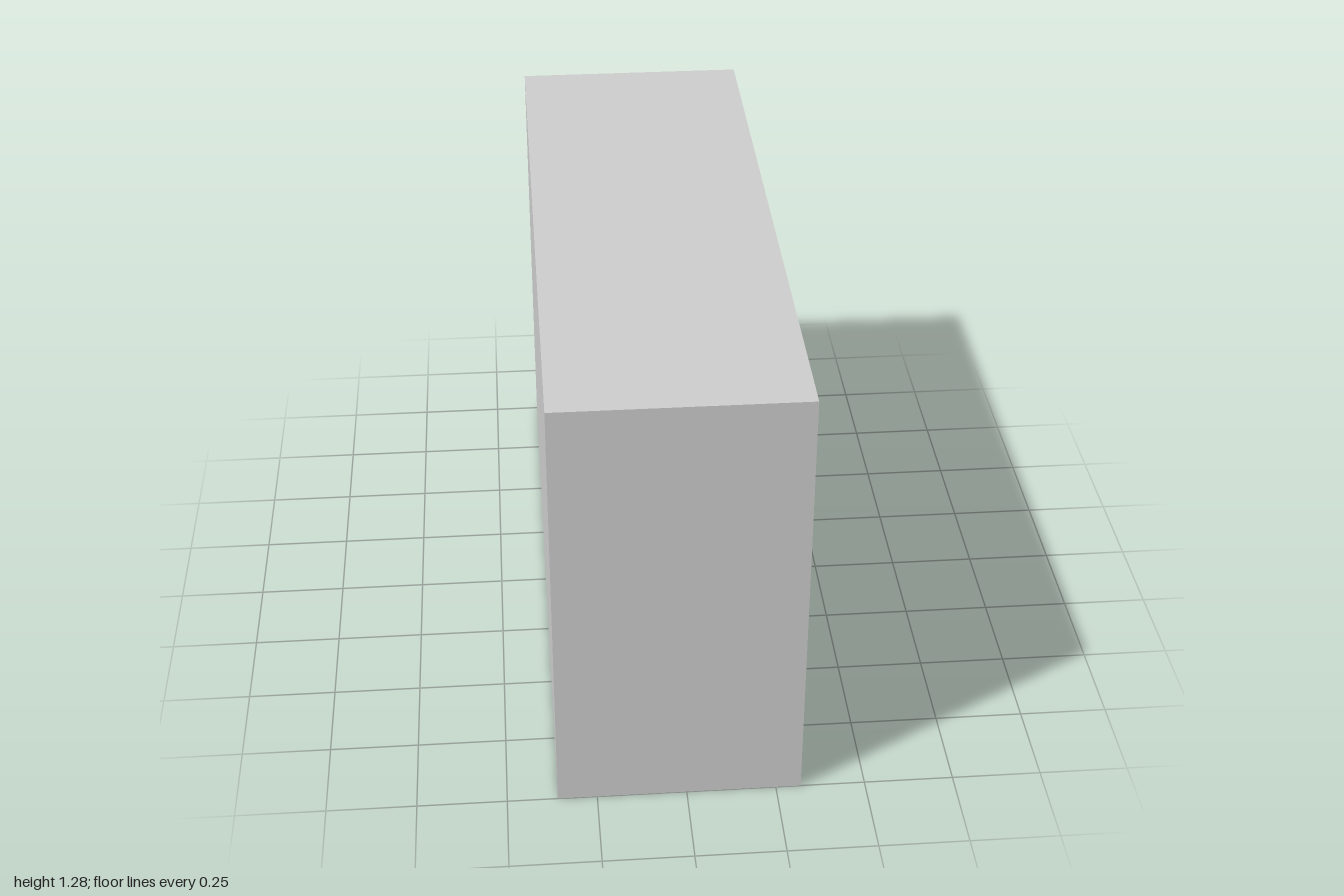
import * as THREE from 'three';
import { toCreasedNormals } from 'three/addons/utils/BufferGeometryUtils.js';

const SEG = 16; // steps along each side of a four-sided ring

// Walk the border of the square [-1, 1]², counter-clockwise seen from +x
function ring(place) {
  const pts = [];
  for (let i = 0; i < 4 * SEG; i++) {
    const t = (i % SEG) / SEG * 2 - 1;
    const [a, b] = [[t, -1], [1, t], [-t, 1], [-1, -t]][Math.floor(i / SEG)];
    pts.push(place(a, b));
  }
  return pts;
}

// Rectangular ring at depth x
function rect(x, z0, z1, y0, y1) {
  return ring((a, b) => [
    x, (y0 + y1) / 2 + b * (y1 - y0) / 2, (z0 + z1) / 2 - a * (z1 - z0) / 2,
  ]);
}

// Skin consecutive rings into one surface
function loft(rings, crease) {
  const n = rings[0].length, index = [];
  for (let r = 0; r < rings.length - 1; r++) {
    for (let j = 0; j < n; j++) {
      const k = (j + 1) % n;
      const p = r * n + j, q = r * n + k;
      index.push(p, q, q + n, p, q + n, p + n);
    }
  }
  const g = new THREE.BufferGeometry();
  g.setAttribute('position', new THREE.Float32BufferAttribute(rings.flat(2), 3));
  g.setIndex(index);
  return toCreasedNormals(g, crease);
}

// Screen face: flat middle falling away towards every edge
function screenDepth(y, z) {
  const dz = Math.max(0, Math.abs(z - 0.17) - 0.375);
  const dy = Math.max(0, Math.abs(y - 0.645) - 0.165);
  return 0.358 - Math.hypot(0.29 * dz, 0.235 * dy);
}

// Barrel-shaped screen outline, scaled by s
function screenRing(s, x) {
  return ring((a, b) => {
    const z = 0.16 - s * a * (0.57 + 0.05 * (1 - b * b));
    const y = 0.645 + s * b * (0.445 + 0.05 * (1 - a * a));
    return [x ?? screenDepth(y, z), y, z];
  });
}

export function createModel() {
  const group = new THREE.Group();
  const material = new THREE.MeshStandardMaterial({ color: 0xcccccc });
  const add = (name, geometry, x = 0, y = 0, z = 0) => {
    const mesh = new THREE.Mesh(geometry, material);
    mesh.name = name;
    mesh.position.set(x, y, z);
    group.add(mesh);
    return mesh;
  };

  // Cabinet: closed back, four sides, thin rim with an inner lip
  add('cabinet', loft([
    rect(-0.36, 0, 0, 0.64, 0.64),
    rect(-0.36, -1, 1, 0, 1.28),
    rect(0.32, -1, 1, 0, 1.28),
    rect(0.32, -0.967, 0.967, 0.027, 1.253),
    rect(0.284, -0.967, 0.967, 0.027, 1.253),
  ], 0.5));

  // Front panel around the screen opening
  const opening = rect(0.284, -0.53, 0.835, 0.125, 1.158);
  add('frontPanel', loft([rect(0.284, -0.967, 0.967, 0.027, 1.253), opening], 0.5));

  // Sloping recess: steep at the top and one side, gentle at the others
  add('screenRecess', loft([
    opening,
    rect(0.25, -0.475, 0.825, 0.155, 1.145),
    screenRing(0.98, 0.25),
  ], 0.9));

  // Bulging screen with a short steep edge
  const screen = [screenRing(1, 0.245)];
  for (let i = 20; i >= 0; i--) screen.push(screenRing(i / 20));
  add('screen', loft(screen, 0.7));

  // Control plate
  add('controlPlate', new THREE.BoxGeometry(0.026, 0.6, 0.24), 0.29, 0.43, -0.81);

  // Dial with a raised bevelled ring and a stepped centre knob
  const profile = [
    [0.102, 0], [0.102, 0.008], [0.092, 0.014], [0.074, 0.022], [0.066, 0.02],
    [0.056, 0.008], [0.05, 0.01], [0.046, 0.024], [0.038, 0.032], [0.03, 0.032],
    [0.028, 0.028], [0, 0.028],
  ].map(([r, h]) => new THREE.Vector2(r, h));
  const dial = add('tuningDial', toCreasedNormals(new THREE.LatheGeometry(profile, 32), 0.5),
    0.303, 0.29, -0.81);
  dial.rotation.z = -Math.PI / 2;

  // Pair of small round knobs
  for (const z of [-0.75, -0.86]) {
    const knob = add('smallKnob', new THREE.SphereGeometry(0.034, 20, 14), 0.303, 0.63, z);
    knob.scale.x = 0.6;
  }

  return group;
}
